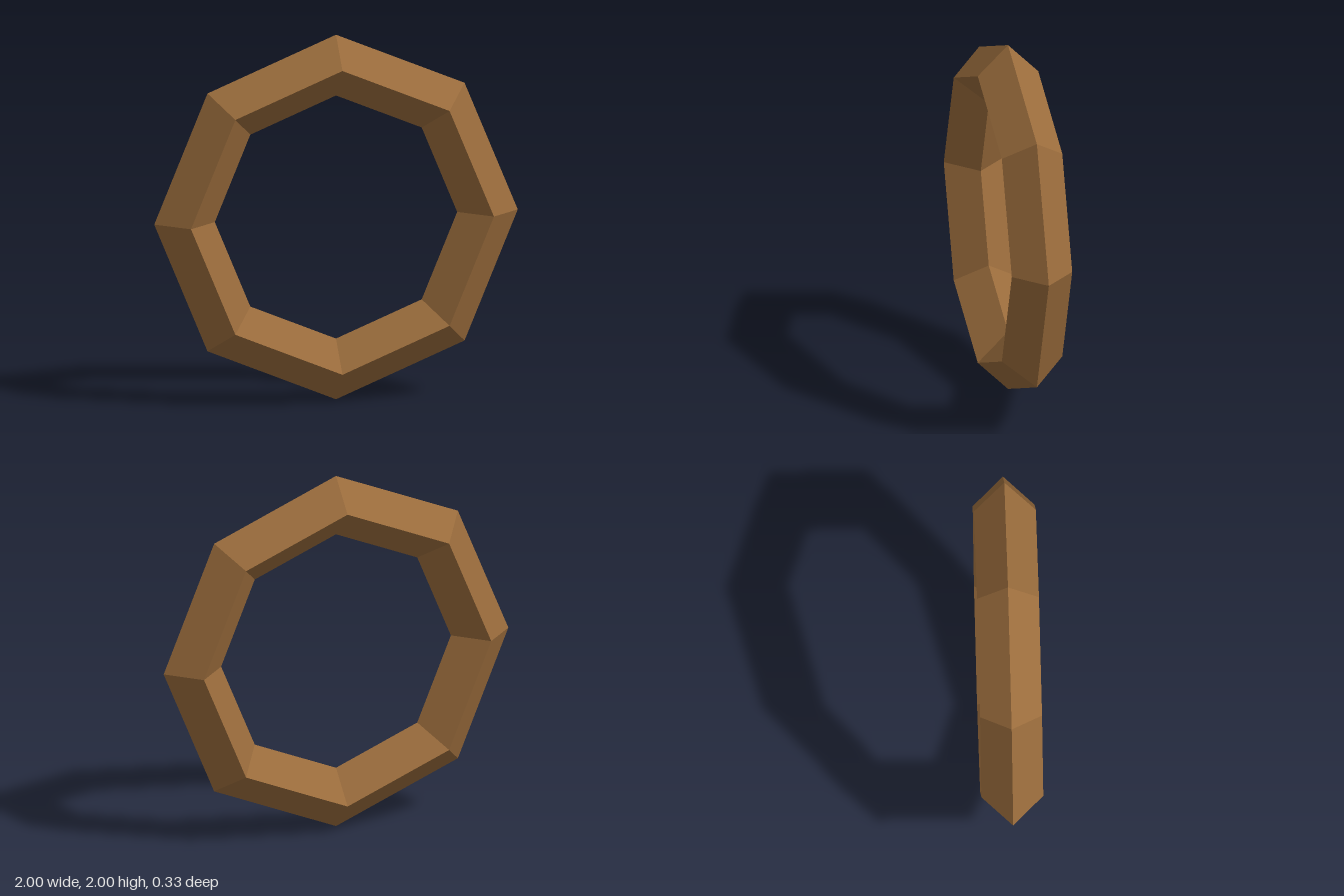
import * as THREE from 'three';

export function createModel() {
  const group = new THREE.Group();
  group.name = 'octagonalRing';

  // Eight-sided ring with a diamond cross-section, standing upright
  const outer = 1;
  const tube = 1 / 6;
  const material = new THREE.MeshStandardMaterial({ color: 0x9a6c3c, flatShading: true });
  const ring = new THREE.Mesh(new THREE.TorusGeometry(outer - tube, tube, 4, 8), material);
  ring.name = 'ring';
  ring.position.y = outer;
  group.add(ring);

  return group;
}
